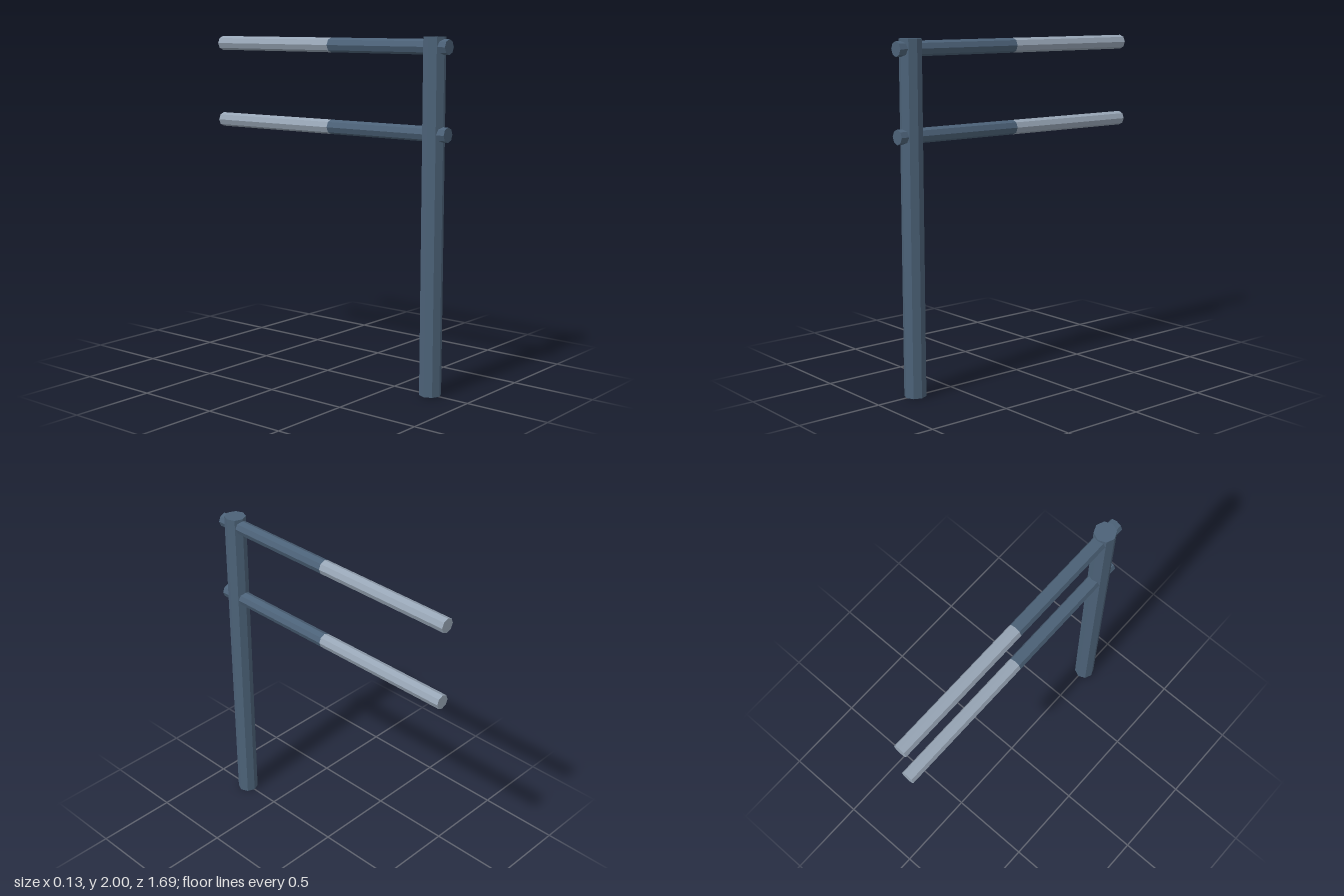
import * as THREE from 'three';

export function createModel() {
  const group = new THREE.Group();
  const slate = new THREE.MeshStandardMaterial({ color: 0x4c6278, flatShading: true });
  slate.name = 'slate blue';
  const pale = new THREE.MeshStandardMaterial({ color: 0x98a6b6, flatShading: true });
  pale.name = 'pale grey';

  // Eight-sided upright post
  const post = new THREE.Mesh(new THREE.CylinderGeometry(0.063, 0.063, 2, 8), slate);
  post.name = 'post';
  post.position.set(0, 1, 0.75);
  group.add(post);

  // One length of eight-sided rail running along z
  function rail(name, y, zFrom, zTo, material) {
    const geometry = new THREE.CylinderGeometry(0.0425, 0.0425, zTo - zFrom, 8);
    geometry.rotateX(Math.PI / 2);
    const mesh = new THREE.Mesh(geometry, material);
    mesh.name = name;
    mesh.position.set(0, y, (zFrom + zTo) / 2);
    group.add(mesh);
  }

  // Two rails through the post, each with a pale outer half
  for (const [label, y] of [['upper', 1.945], ['lower', 1.472]]) {
    rail(label + 'RailInner', y, 0.027, 0.845, slate);
    rail(label + 'RailOuter', y, -0.845, 0.027, pale);
  }
  return group;
}
